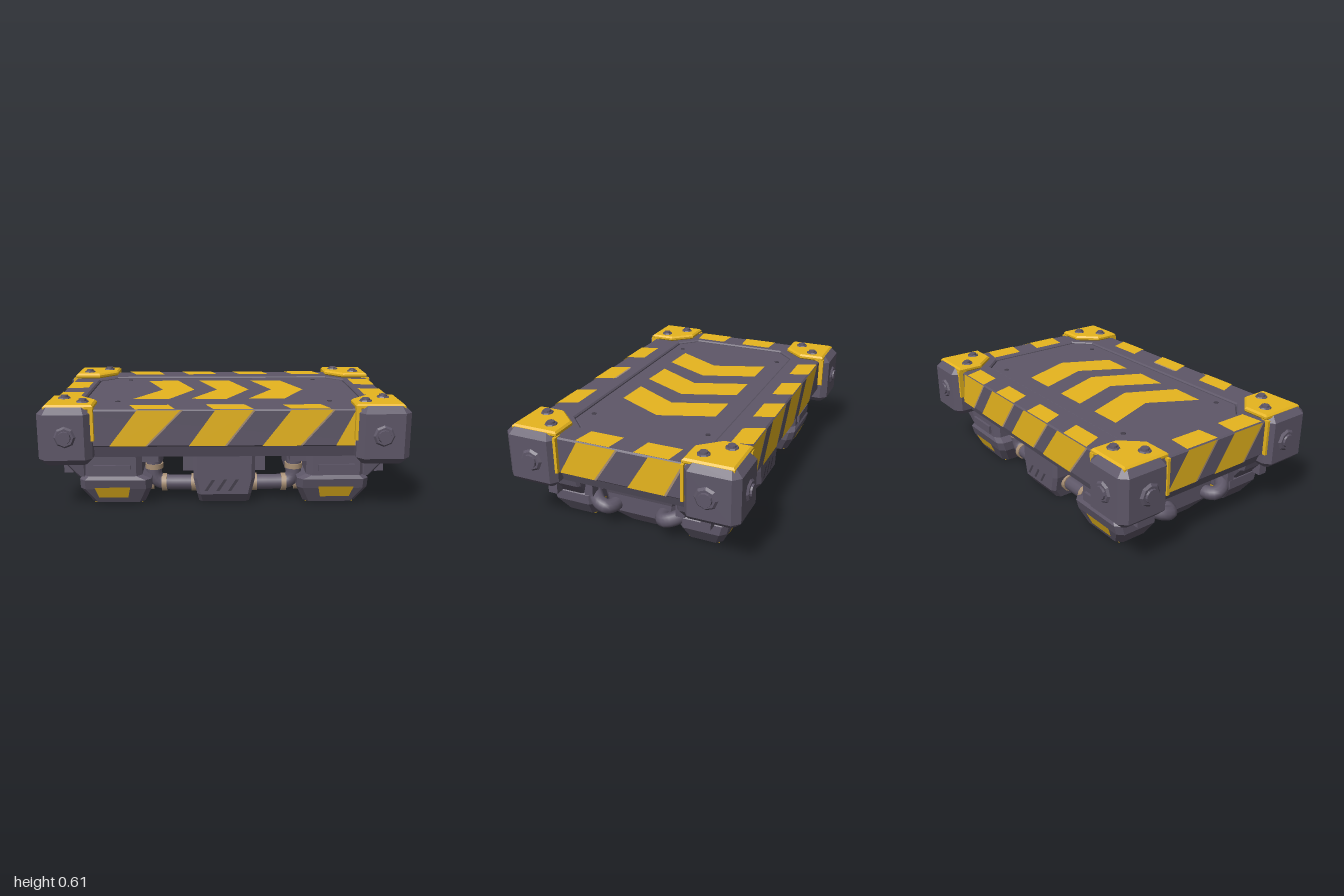
import * as THREE from 'three';

const mat = (name, color, side = THREE.FrontSide) => {
  const m = new THREE.MeshStandardMaterial({ color, side });
  m.name = name;
  return m;
};

export function createModel() {
  const model = new THREE.Group();
  model.name = 'hoverPlatform';
  const metal = mat('greyMetal', 0x5e5768);
  const dark = mat('darkGap', 0x443f4b);
  const yellow = mat('hazardYellow', 0xe8b61e, THREE.DoubleSide);
  const tan = mat('wornTan', 0xa88f74, THREE.DoubleSide);

  const add = (name, geo, material) => {
    const mesh = new THREE.Mesh(geo, material);
    mesh.name = name;
    model.add(mesh);
  };
  const flat = (geo) => {
    const g = geo.index ? geo.toNonIndexed() : geo;
    g.computeVertexNormals();
    return g;
  };
  // Upright prism from an [x, z] outline, with chamfered rims
  const prism = (pts, y0, y1, b, hole) => {
    const toV = (p) => new THREE.Vector2(p[0], -p[1]);
    const shape = new THREE.Shape(pts.map(toV));
    if (hole) shape.holes.push(new THREE.Path(hole.map(toV).reverse()));
    const g = new THREE.ExtrudeGeometry(shape, {
      depth: y1 - y0 - 2 * b, bevelEnabled: b > 0, bevelSegments: 1,
      bevelSize: b, bevelThickness: b, bevelOffset: -b,
    });
    return g.rotateX(-Math.PI / 2).translate(0, y0 + b, 0);
  };
  // Stack of chamfered rectangles, each [y, x0, x1, z0, z1]
  const loft = (sections, c = 0.03) => {
    const loops = sections.map(([y, x0, x1, z0, z1]) => [
      [x0 + c, z0], [x0, z0 + c], [x0, z1 - c], [x0 + c, z1],
      [x1 - c, z1], [x1, z1 - c], [x1, z0 + c], [x1 - c, z0],
    ].map(([x, z]) => [x, y, z]));
    const v = [];
    const top = loops[loops.length - 1], bottom = loops[0];
    for (let k = 0; k < loops.length - 1; k++) {
      for (let i = 0; i < 8; i++) {
        const j = (i + 1) % 8, a = loops[k], b = loops[k + 1];
        v.push(...a[i], ...a[j], ...b[j], ...a[i], ...b[j], ...b[i]);
      }
    }
    for (let i = 1; i < 7; i++) {
      v.push(...top[0], ...top[i], ...top[i + 1]);
      v.push(...bottom[0], ...bottom[i + 1], ...bottom[i]);
    }
    const g = new THREE.BufferGeometry();
    g.setAttribute('position', new THREE.Float32BufferAttribute(v, 3));
    return flat(g);
  };
  // Painted four-cornered patch
  const patch = (name, [a, b, c, d], material = yellow) => {
    const g = new THREE.BufferGeometry();
    g.setAttribute('position', new THREE.Float32BufferAttribute([...a, ...b, ...c, ...a, ...c, ...d], 3));
    g.computeVertexNormals();
    add(name, g, material);
  };
  // Faceted washer with a rounded head
  const bolt = (name, pos, dir, r) => {
    const q = new THREE.Quaternion().setFromUnitVectors(new THREE.Vector3(0, 1, 0), new THREE.Vector3(...dir));
    for (const [r1, r2, h, n] of [[r * 0.85, r * 1.08, 0.014, 8], [r * 0.58, r * 0.68, 0.024, 12]]) {
      const g = flat(new THREE.CylinderGeometry(r1, r2, h, n).translate(0, h / 2, 0));
      add(name, g.applyQuaternion(q).translate(...pos), metal);
    }
  };
  const pipe = (name, pts, r) => {
    const path = new THREE.CatmullRomCurve3(pts.map((p) => new THREE.Vector3(...p)), false, 'catmullrom', 0.4);
    add(name, new THREE.TubeGeometry(path, 18, r, 12), metal);
  };
  const ring = (x, y, z, axis, r = 0.05) => {
    const g = new THREE.CylinderGeometry(r, r, 0.028, 14);
    if (axis === 'x') g.rotateZ(Math.PI / 2);
    add('pipeRing', g.translate(x, y, z), tan);
  };
  const octagon = (x, z, c) => [[-x + c, -z], [x - c, -z], [x, -z + c], [x, z - c], [x - c, z], [-x + c, z], [-x, z - c], [-x, -z + c]];

  // Deck frame, recessed panel and skirt
  add('deckFrame', prism([[-0.94, -0.59], [0.94, -0.59], [0.94, 0.59], [-0.94, 0.59]], 0.36, 0.562, 0.008, octagon(0.78, 0.4, 0.1)), metal);
  add('panelGroove', prism(octagon(0.79, 0.41, 0.1), 0.37, 0.538, 0), dark);
  add('deckPanel', prism(octagon(0.777, 0.398, 0.1), 0.4, 0.552, 0.004), metal);
  add('skirt', loft([[0.293, -0.89, 0.89, -0.54, 0.54], [0.365, -0.92, 0.92, -0.565, 0.565]]), metal);
  for (const sx of [-1, 1]) {
    for (const sz of [-1, 1]) {
      add('panelScrew', new THREE.CylinderGeometry(0.014, 0.014, 0.01, 8).translate(sx * 0.59, 0.55, sz * 0.335), dark);
    }
  }

  // Chevrons on the panel
  for (let i = 0; i < 3; i++) {
    const o = i * 0.325, p = (x, z) => [x + o, 0.556, z];
    patch('chevron', [p(-0.47, -0.29), p(-0.36, 0.01), p(-0.17, 0.01), p(-0.28, -0.29)]);
    patch('chevron', [p(-0.36, 0.01), p(-0.51, 0.28), p(-0.31, 0.29), p(-0.17, 0.01)]);
  }

  // Hazard stripes on the deck sides: bottom start/end, top start/end
  const sides = {
    front: [[-0.61, -0.42, -0.46, -0.23], [-0.19, 0, -0.05, 0.15], [0.2, 0.4, 0.35, 0.57], [0.59, 0.69, 0.69, 0.7]],
    back: [[-0.22, -0.47, -0.37, -0.62], [0.11, -0.12, -0.04, -0.27], [0.46, 0.22, 0.31, 0.07], [0.7, 0.57, 0.66, 0.42]],
    left: [[0.34, 0.14, 0.23, 0.01], [-0.05, -0.25, -0.17, -0.35]],
    right: [[-0.34, -0.15, -0.21, -0.02], [-0.02, 0.19, 0.11, 0.32]],
  };
  const place = {
    front: (t, y) => [t, y, 0.593], back: (t, y) => [t, y, -0.593],
    left: (t, y) => [0.943, y, t], right: (t, y) => [-0.943, y, t],
  };
  for (const [side, list] of Object.entries(sides)) {
    const at = place[side];
    for (const [a, b, c, d] of list) {
      const e = Math.sign(b - a) * 0.012;
      patch(side + 'Stripe', [at(a, 0.365), at(b, 0.365), at(d, 0.56), at(c, 0.56)]);
      patch('wornEdge', [at(b, 0.365), at(b + e, 0.365), at(d + e, 0.56), at(d, 0.56)], tan);
    }
  }

  // Hazard stripes on the deck rim, the middle front one with a worn edge
  const rim = (x, z) => [x, 0.565, z];
  for (const x of [-0.51, -0.1, 0.31]) patch('frontRimStripe', [rim(x, 0.48), rim(x + 0.04, 0.588), rim(x + 0.25, 0.588), rim(x + 0.21, 0.48)]);
  patch('wornEdge', [rim(-0.09, 0.468), rim(-0.1, 0.48), rim(0.11, 0.48), rim(0.1, 0.468)], tan);
  for (const x of [-0.62, -0.27, 0.07, 0.42]) patch('backRimStripe', [rim(x, -0.59), rim(x + 0.05, -0.48), rim(x + 0.24, -0.48), rim(x + 0.2, -0.59)]);
  for (const z of [-0.215, 0.11]) patch('rightRimStripe', [rim(-0.935, z), rim(-0.81, z + 0.01), rim(-0.81, z + 0.2), rim(-0.935, z + 0.21)]);
  for (const z of [-0.295, 0.03]) patch('leftRimStripe', [rim(0.81, z), rim(0.935, z + 0.02), rim(0.935, z + 0.21), rim(0.81, z + 0.19)]);

  for (const sx of [-1, 1]) {
    for (const sz of [-1, 1]) {
      const mirror = (pts) => pts.map(([x, z]) => [sx * x, sz * z]);
      const box = (y, x0, x1, z0, z1) => [y,
        Math.min(sx * x0, sx * x1), Math.max(sx * x0, sx * x1),
        Math.min(sz * z0, sz * z1), Math.max(sz * z0, sz * z1)];
      const P = (x, y, z) => [sx * x, y, sz * z];

      // Corner bumper with yellow cap and bolts
      add('cornerBlock', prism(mirror([[0.695, 0.46], [0.79, 0.355], [0.94, 0.355], [0.978, 0.385], [0.978, 0.61], [0.94, 0.648], [0.73, 0.648], [0.695, 0.61]]), 0.27, 0.582, 0.035), metal);
      add('cornerCap', prism(mirror([[0.685, 0.46], [0.79, 0.345], [0.945, 0.345], [0.945, 0.612], [0.685, 0.612]]), 0.56, 0.592, 0.01), yellow);
      add('capFlange', new THREE.BoxGeometry(0.025, 0.17, 0.05).translate(sx * 0.698, 0.485, sz * 0.592), yellow);
      add('capFlange', new THREE.BoxGeometry(0.05, 0.2, 0.016).translate(sx * 0.935, 0.465, sz * 0.352), yellow);
      bolt('topBolt', P(0.75, 0.585, 0.525), [0, 1, 0], 0.036);
      bolt('topBolt', P(0.865, 0.585, 0.425), [0, 1, 0], 0.036);
      bolt('endBolt', P(0.83, 0.43, 0.645), [0, 0, sz], 0.056);
      bolt('sideBolt', P(0.976, 0.425, 0.485), [sx, 0, 0], 0.06);

      // Thruster foot with yellow base, end plate and inner slashes
      add('foot', loft([box(0.01, 0.44, 0.73, 0.27, 0.47), box(0.1, 0.4, 0.79, 0.25, 0.51), box(0.155, 0.4, 0.79, 0.25, 0.525), box(0.175, 0.45, 0.77, 0.27, 0.515), box(0.3, 0.45, 0.77, 0.27, 0.515)]), metal);
      add('footBase', new THREE.BoxGeometry(0.265, 0.004, 0.175).translate(sx * 0.585, 0.009, sz * 0.37), yellow);
      const face = (x, y) => P(x, y, 0.476 + (y - 0.01) * 0.444);
      patch('footPlate', [face(0.53, 0.045), face(0.69, 0.045), face(0.71, 0.112), face(0.515, 0.112)]);
      const inner = (x, y) => P(x, y, 0.266 - (y - 0.01) * 0.222);
      for (const x of [0.48, 0.56, 0.64]) patch('footSlash', [inner(x, 0.03), inner(x + 0.045, 0.03), inner(x + 0.065, 0.095), inner(x + 0.02, 0.095)]);
      ring(sx * 0.414, 0.07, sz * 0.33, 'x', 0.032);

      // Brackets holding the foot to the deck
      add('outerBracket', loft([box(0.17, 0.75, 0.8, 0.3, 0.5), box(0.25, 0.75, 0.87, 0.28, 0.51), box(0.31, 0.75, 0.885, 0.28, 0.51)], 0.015), metal);
      add('outerStrut', new THREE.BoxGeometry(0.05, 0.09, 0.055).translate(sx * 0.853, 0.23, sz * 0.443), metal);
      add('innerBracket', new THREE.BoxGeometry(0.1, 0.06, 0.18).translate(sx * 0.41, 0.275, sz * 0.39), metal);
      add('endRib', new THREE.BoxGeometry(0.2, 0.05, 0.02).translate(sx * 0.61, 0.215, sz * 0.52), metal);

      // Pipes and their rings
      pipe('crossPipe', [P(0.1, 0.1, 0.39), P(0.22, 0.1, 0.39), P(0.35, 0.105, 0.39), P(0.39, 0.15, 0.39), P(0.39, 0.26, 0.39)], 0.043);
      for (const x of [0.17, 0.335]) ring(sx * x, 0.1, sz * 0.39, 'x');
      ring(sx * 0.39, 0.2, sz * 0.39, 'y');
      pipe('sidePipe', [P(0.64, 0.11, 0.145), P(0.74, 0.11, 0.145), P(0.785, 0.115, 0.17), P(0.78, 0.13, 0.22), P(0.72, 0.15, 0.28)], 0.04);
      add('sideRib', new THREE.BoxGeometry(0.06, 0.11, 0.05).translate(sx * 0.77, 0.22, sz * 0.27), metal);
    }

    // Middle housing on each short side
    add('sideHousing', loft([[0, 0.42, 0.68, -0.1, 0.1], [0.07, 0.38, 0.73, -0.2, 0.2], [0.17, 0.38, 0.73, -0.22, 0.22], [0.3, 0.4, 0.77, -0.27, 0.27]]
      .map(([y, a, b, c, d]) => [y, Math.min(sx * a, sx * b), Math.max(sx * a, sx * b), c, d])), metal);
  }

  // Middle housings on the long sides, with slanted vents
  for (const s of [-1, 1]) {
    const z = (a, b) => [Math.min(s * a, s * b), Math.max(s * a, s * b)];
    add('endHousing', loft([[0.005, -0.14, 0.14, ...z(0.11, 0.45)], [0.06, -0.15, 0.15, ...z(0.09, 0.49)], [0.15, -0.17, 0.17, ...z(0.09, 0.49)], [0.31, -0.17, 0.17, ...z(0.09, 0.49)]], 0.02), metal);
    add('housingShoulder', new THREE.BoxGeometry(0.46, 0.14, 0.2).translate(0, 0.24, s * 0.3), metal);
    for (const x of [-0.11, -0.045, 0.02]) {
      const p = (dx, y) => [s * (x + dx), y, s * 0.493];
      patch('ventSlot', [p(0, 0.08), p(0.018, 0.08), p(0.06, 0.145), p(0.042, 0.145)], dark);
    }
  }

  // Core and the plate it hangs from
  add('core', new THREE.BoxGeometry(0.26, 0.24, 0.4).translate(0, 0.19, 0), metal);
  add('underPlate', new THREE.BoxGeometry(1.3, 0.065, 0.5).translate(0, 0.268, 0), metal);

  return model;
}
